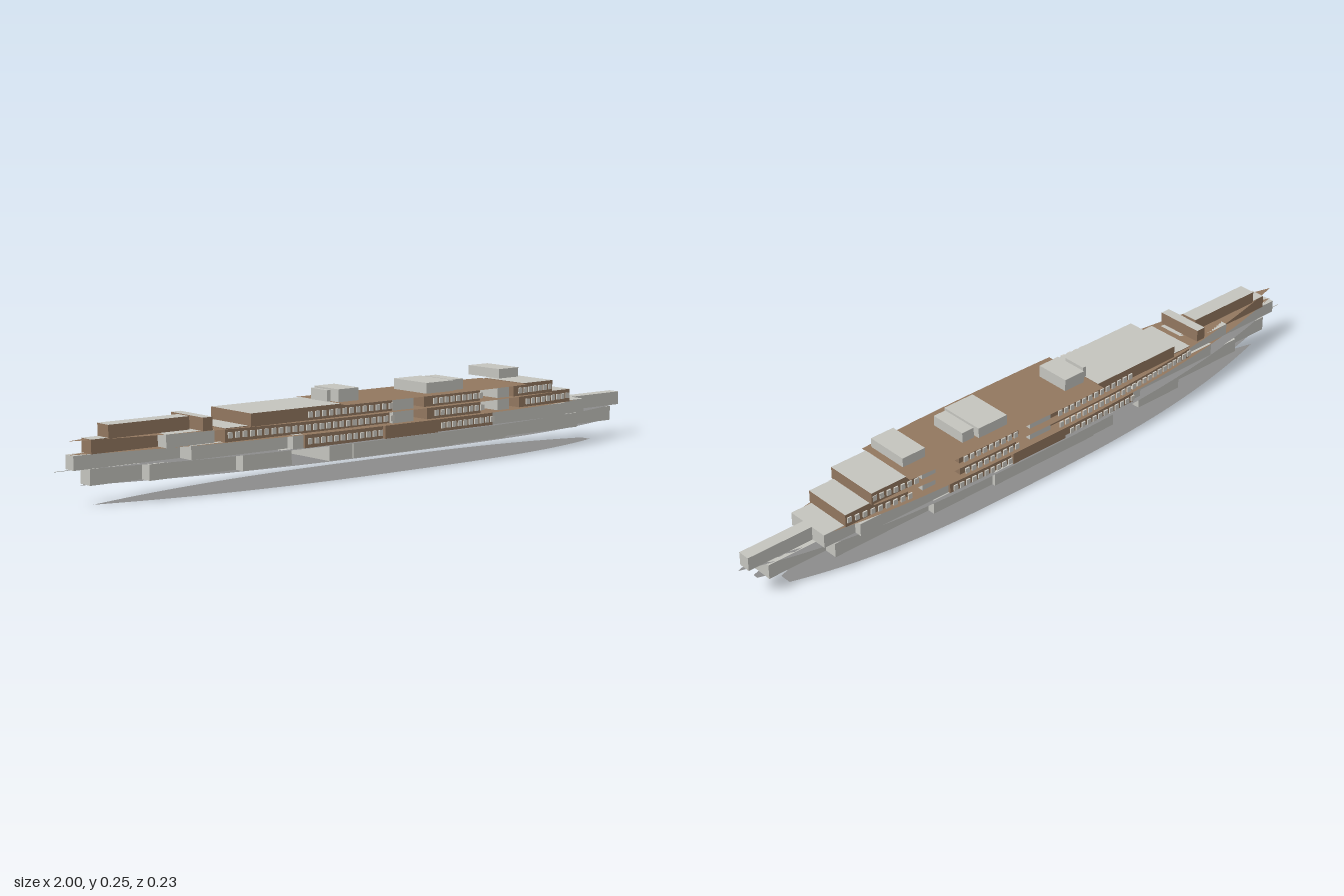
import * as THREE from 'three';

const mat = (name, color, side = THREE.FrontSide) => {
  const m = new THREE.MeshStandardMaterial({ color, side });
  m.name = name;
  return m;
};

// Half width of the ship at position x: fuller bow, finer stern
function halfWidth(x) {
  const t = Math.min(1, Math.abs(x - 0.02) / 0.98);
  return 0.112 * (1 - Math.pow(t, x > 0.02 ? 3.2 : 2.4));
}

export function createModel() {
  const ship = new THREE.Group();
  ship.name = 'ship';
  const grey = mat('light grey', 0xc4c4be);
  const brown = mat('brown', 0x92775f);
  const brownDeck = mat('brown deck', 0x92775f, THREE.DoubleSide);
  const greyDeck = mat('dark grey deck', 0x8c8c8c, THREE.DoubleSide);
  const pane = mat('window pane', 0xcfccc4);

  const add = (name, geometry, material) => {
    const mesh = new THREE.Mesh(geometry, material);
    mesh.name = name;
    ship.add(mesh);
    return mesh;
  };

  // Box spanning x0..x1 and y0..y1, with half depth w
  const block = (name, x0, x1, y0, y1, w, material) =>
    add(name, new THREE.BoxGeometry(x1 - x0, y1 - y0, 2 * w), material)
      .position.set((x0 + x1) / 2, (y0 + y1) / 2, 0);

  // Brown house with a light grey roof
  const house = (name, x0, x1, y0, y1, w) =>
    block(name, x0, x1, y0, y1 + 0.002, w, [brown, brown, grey, brown, brown, brown]);

  // Flat deck sheet following the hull outline from x0 to x1
  const deck = (name, y, x0, x1, material, width = halfWidth) => {
    const n = 48, pts = [];
    for (let i = 0; i <= n; i++) {
      const x = x0 + (x1 - x0) * i / n;
      pts.push(new THREE.Vector2(x, width(x)));
    }
    for (let i = n; i >= 0; i--) pts.push(new THREE.Vector2(pts[i].x, -pts[i].y));
    const g = new THREE.ShapeGeometry(new THREE.Shape(pts));
    g.rotateX(-Math.PI / 2);
    add(name, g, material).position.y = y;
  };

  // Deck levels
  const Y = [0, 0.053, 0.095, 0.132, 0.167, 0.2];
  deck('bottomSheet', Y[0], -0.89, 0.86, greyDeck,
    x => 0.95 * halfWidth(x < 0 ? x * 1.08 : x * 1.1));
  deck('lowerDeck', Y[1], -0.93, 0.95, greyDeck, x => halfWidth(x * 1.03));
  deck('hullDeck', Y[2], -0.97, 1, greyDeck);
  deck('mainDeck', Y[3], -0.96, 0.78, brownDeck);
  deck('promenadeDeck', Y[4], -0.96, 0.63, brownDeck);
  deck('boatDeck', Y[5], -0.16, 0.52, brownDeck);
  // Fine stern tip
  block('sternTip', -1, -0.96, Y[2] - 0.001, Y[2], 0.001, grey);

  // Lower hull blocks
  for (const [x0, x1, w] of [
    [-0.91, -0.755, 0.022], [-0.755, -0.485, 0.055], [-0.485, -0.325, 0.085],
    [-0.21, -0.13, 0.1], [-0.13, 0.235, 0.104], [0.235, 0.44, 0.094],
    [0.44, 0.75, 0.072], [0.75, 0.93, 0.032],
  ]) block('lowerHullBlock', x0, x1, Y[1], Y[2], w, grey);

  // Upper hull blocks
  for (const [x0, x1, w] of [
    [-0.955, -0.635, 0.018], [-0.635, -0.325, 0.068], [-0.325, -0.29, 0.09],
    [0.385, 0.68, 0.09], [0.68, 0.78, 0.068], [0.78, 0.98, 0.018],
  ]) block('upperHullBlock', x0, x1, Y[2], Y[3] + (x0 > 0.6 ? 0.002 : 0), w, grey);
  block('midshipCabins', -0.29, 0.385, Y[2], Y[3], 0.097, brown);
  block('midshipEntrance', -0.02, 0.17, Y[2], Y[3], 0.107, brown);

  // Main deck houses
  house('sternLowerHouse', -0.905, -0.706, Y[3], Y[4], 0.022);
  block('sternGreyHouse', -0.706, -0.556, Y[3], Y[4], 0.06, grey);
  house('aftLowerHouse', -0.535, 0.02, Y[3], Y[4], 0.077);
  block('midLowerHouse', 0.145, 0.345, Y[3], Y[4], 0.09, brown);
  house('bowLowerHouse', 0.51, 0.715, Y[3], Y[4], 0.075);
  block('aftCasing', 0.02, 0.095, Y[3], Y[5] - 0.001, 0.09, grey);
  block('foreCasing', 0.42, 0.465, Y[3], Y[5] - 0.001, 0.08, grey);

  // Promenade houses
  house('sternUpperHouse', -0.856, -0.61, Y[4], Y[5], 0.025);
  house('sternBar', -0.6, -0.57, Y[4], Y[5], 0.072);
  house('aftUpperHouse', -0.46, -0.16, Y[4], Y[5], 0.088);
  block('aftUpperCabins', -0.16, 0.02, Y[4], Y[5], 0.088, brown);
  block('midUpperHouse', 0.135, 0.345, Y[4], Y[5], 0.088, brown);
  block('bowUpperCabins', 0.48, 0.52, Y[4], Y[5], 0.083, brown);
  house('bowUpperHouse', 0.52, 0.635, Y[4], Y[5], 0.083);

  // Boat deck houses
  block('aftVent', -0.165, -0.153, Y[5], 0.233, 0.035, grey);
  block('aftRoofHouse', -0.14, -0.07, Y[5], 0.235, 0.052, grey);
  block('midRoofHouse', 0.16, 0.26, Y[5], 0.23, 0.07, grey);
  block('midRoofHouseSmall', 0.267, 0.307, Y[5], 0.23, 0.058, grey);
  block('bridge', 0.44, 0.515, 0.22, 0.247, 0.065, grey);

  // Rows of window panes along the deck edges, both sides
  const windowRows = [
    [0.114, -0.29, -0.03], [0.114, 0.175, 0.385],
    [0.151, -0.535, 0.01], [0.151, 0.15, 0.345], [0.151, 0.51, 0.715],
    [0.184, -0.285, 0.01], [0.184, 0.15, 0.345], [0.184, 0.485, 0.635],
  ];
  const paneGeometry = new THREE.BoxGeometry(0.013, 0.016, 0.004);
  for (const [y, x0, x1] of windowRows) {
    const count = Math.round((x1 - x0) / 0.022);
    for (let i = 0; i < count; i++) {
      const x = x0 + (x1 - x0) * (i + 0.5) / count;
      for (const side of [-1, 1])
        add('window', paneGeometry, pane).position.set(x, y, side * (halfWidth(x) - (y > 0.17 ? 0.006 : 0)));
    }
  }
  return ship;
}
